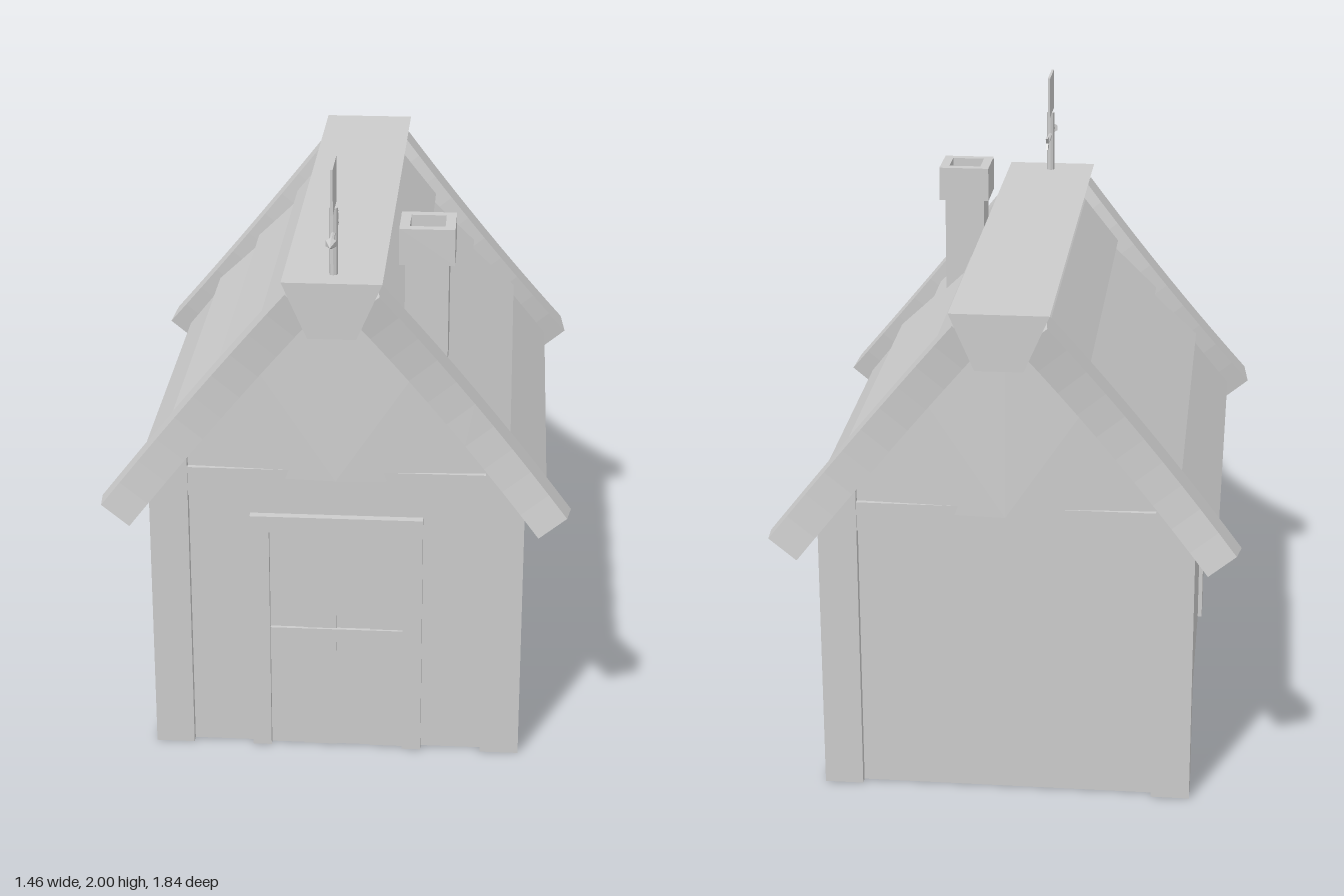
import * as THREE from 'three';

const mat = new THREE.MeshStandardMaterial({ color: 0xcccccc, flatShading: true });
const thinMat = new THREE.MeshStandardMaterial({ color: 0xcccccc, flatShading: true, side: THREE.DoubleSide });

function add(parent, name, geo, x = 0, y = 0, z = 0, material = mat) {
  const m = new THREE.Mesh(geo, material);
  m.name = name;
  m.position.set(x, y, z);
  parent.add(m);
  return m;
}

// Box given by its min and max on each axis
function box(parent, name, x0, x1, y0, y1, z0, z1) {
  return add(parent, name, new THREE.BoxGeometry(x1 - x0, y1 - y0, z1 - z0),
    (x0 + x1) / 2, (y0 + y1) / 2, (z0 + z1) / 2);
}

const poly = (pts) => new THREE.Shape(pts.map(([x, y]) => new THREE.Vector2(x, y)));

// Outline in x/y extruded from z0 to z1
function prism(pts, z0, z1, holes = []) {
  const s = poly(pts);
  holes.forEach((h) => s.holes.push(poly(h)));
  return new THREE.ExtrudeGeometry(s, { depth: z1 - z0, bevelEnabled: false }).translate(0, 0, z0);
}

const rect = (x0, x1, y0, y1) => [[x0, y0], [x1, y0], [x1, y1], [x0, y1]];
const mirror = (pts) => pts.map(([x, y]) => [-x, y]).reverse();

// Curved gable board, bowed inwards at mid-length, sloping to one side
function rakeBoard(side) {
  const R = 2.32, t = 0.11, a = 0.197, up = -Math.PI / 2;
  const s = new THREE.Shape();
  s.absarc(0, 0, R, up - a, up + a, false);
  s.absarc(0, 0, R + t, up + a, up - a, true);
  const g = new THREE.ExtrudeGeometry(s, { depth: 0.11, bevelEnabled: false, curveSegments: 5 });
  g.translate(0, R, 0).rotateX(Math.PI / 2);
  return g.rotateZ(-0.886 * side).translate(0.428 * side, 1.258, 0.828);
}

// Shallow faceted infill of the gable triangle
function gableInfill() {
  const c = [0, 0.95, 0.7445];
  const ring = [[0.53, 0.95, 0.716], [0.25, 1.32, 0.724], [0, 1.61, 0.716], [-0.25, 1.32, 0.724], [-0.53, 0.95, 0.716]];
  const v = [];
  for (let i = 0; i < ring.length - 1; i++) v.push(...c, ...ring[i], ...ring[i + 1]);
  const g = new THREE.BufferGeometry();
  g.setAttribute('position', new THREE.Float32BufferAttribute(v, 3));
  g.computeVertexNormals();
  return g;
}

// Timber and boards shared by the front and the back gable
function gableEnd(name) {
  const g = new THREE.Group();
  g.name = name;
  const post = [[0.465, 0], [0.5875, 0], [0.5875, 0.93], [0.465, 1.075]];
  add(g, 'cornerPost', prism(post, 0.622, 0.742));
  add(g, 'cornerPost', prism(mirror(post), 0.622, 0.742));
  box(g, 'crossBeam', -0.466, 0.466, 0.885, 0.98, 0.7, 0.736);
  add(g, 'gableInfill', gableInfill(), 0, 0, 0, thinMat);
  for (const side of [1, -1]) add(g, 'rakeBoard', rakeBoard(side));
  return g;
}

function frontDoor() {
  const g = new THREE.Group();
  g.name = 'door';
  add(g, 'doorFrame', prism([[-0.272, 0], [-0.212, 0], [-0.212, 0.765], [0.212, 0.765],
    [0.212, 0], [0.272, 0], [0.272, 0.82], [-0.272, 0.82]], 0.7, 0.742));
  for (let i = 0; i < 4; i++) {
    const x = -0.212 + i * 0.106;
    const z = 0.721 + (i % 2) * 0.004;
    box(g, 'lowerDoorPlank', x, x + 0.106, 0, 0.38, 0.7, z);
    box(g, 'upperDoorPlank', x, x + 0.106, 0.425, 0.765, 0.7, z);
  }
  box(g, 'doorRail', -0.212, 0.212, 0.38, 0.425, 0.7, 0.733);
  return g;
}

// Window drawn facing +z, then turned to the +x wall
function sideWindow() {
  const g = new THREE.Group();
  g.name = 'window';
  add(g, 'windowFrame', prism(rect(-0.205, 0.205, 0.37, 0.68), 0.56, 0.59, [rect(-0.172, 0.172, 0.402, 0.648)]));
  box(g, 'windowMullion', -0.01, 0.01, 0.402, 0.648, 0.56, 0.588);
  box(g, 'windowTransom', -0.172, 0.172, 0.515, 0.535, 0.56, 0.588);
  g.rotation.y = Math.PI / 2;
  return g;
}

function chimney() {
  const g = new THREE.Group();
  g.name = 'chimney';
  box(g, 'chimneyShaft', -0.067, 0.067, 1.3, 1.64, -0.07, 0.07);
  const cap = prism(rect(-0.085, 0.085, -0.085, 0.085), 0, 0.115, [rect(-0.054, 0.054, -0.054, 0.054)]);
  add(g, 'chimneyCap', cap.rotateX(-Math.PI / 2), 0, 1.625, 0);
  g.position.set(0.27, 0, 0.543);
  return g;
}

function weatherVane() {
  const g = new THREE.Group();
  g.name = 'weatherVane';
  add(g, 'vanePole', new THREE.CylinderGeometry(0.013, 0.013, 0.22, 8), 0, 1.752, 0);
  box(g, 'vanePlate', -0.004, 0.004, 1.86, 2, -0.073, 0.075);
  const rod = new THREE.CylinderGeometry(0.007, 0.007, 0.23, 6).rotateX(Math.PI / 2);
  add(g, 'arrowShaft', rod, 0, 1.783, 0);
  const tip = new THREE.ConeGeometry(0.018, 0.045, 6).rotateX(Math.PI / 2);
  add(g, 'arrowHead', tip, 0, 1.783, 0.118);
  // flat notched tail feather, outline in z/y
  const tail = prism([[-0.1, 0], [-0.118, 0.02], [-0.155, 0.02], [-0.14, 0],
    [-0.155, -0.02], [-0.118, -0.02]], -0.004, 0.004);
  add(g, 'arrowTail', tail.rotateY(-Math.PI / 2), 0, 1.783, 0);
  g.position.z = 0.805;
  return g;
}

export function createModel() {
  const model = new THREE.Group();
  const house = new THREE.Group();
  house.name = 'cottage';
  house.position.set(-0.01, 0, -0.025);
  model.add(house);

  // Walls
  add(house, 'walls', prism([[-0.573, 0], [0.573, 0], [0.573, 0.94], [0, 1.61], [-0.573, 0.94]], -0.715, 0.715));

  // Stepped plank roof
  const roof = [[0.635, 0.865], [0.655, 0.885], [0.52, 1.06], [0.537, 1.077], [0.372, 1.233],
    [0.39, 1.25], [0.232, 1.4], [0.25, 1.418], [0.13, 1.56], [0.05, 1.63], [0.05, 1.56]];
  add(house, 'roofPlanks', prism(roof, -0.765, 0.765));
  add(house, 'roofPlanks', prism(mirror(roof), -0.765, 0.765));
  add(house, 'ridgeBeam', prism([[-0.073, 1.48], [0.073, 1.48], [0.15, 1.655], [-0.15, 1.655]], -0.895, 0.892));

  // Both gable ends
  const back = gableEnd('backGable');
  back.rotation.y = Math.PI;
  house.add(gableEnd('frontGable'), back, frontDoor(), sideWindow(), chimney(), weatherVane());
  return model;
}
